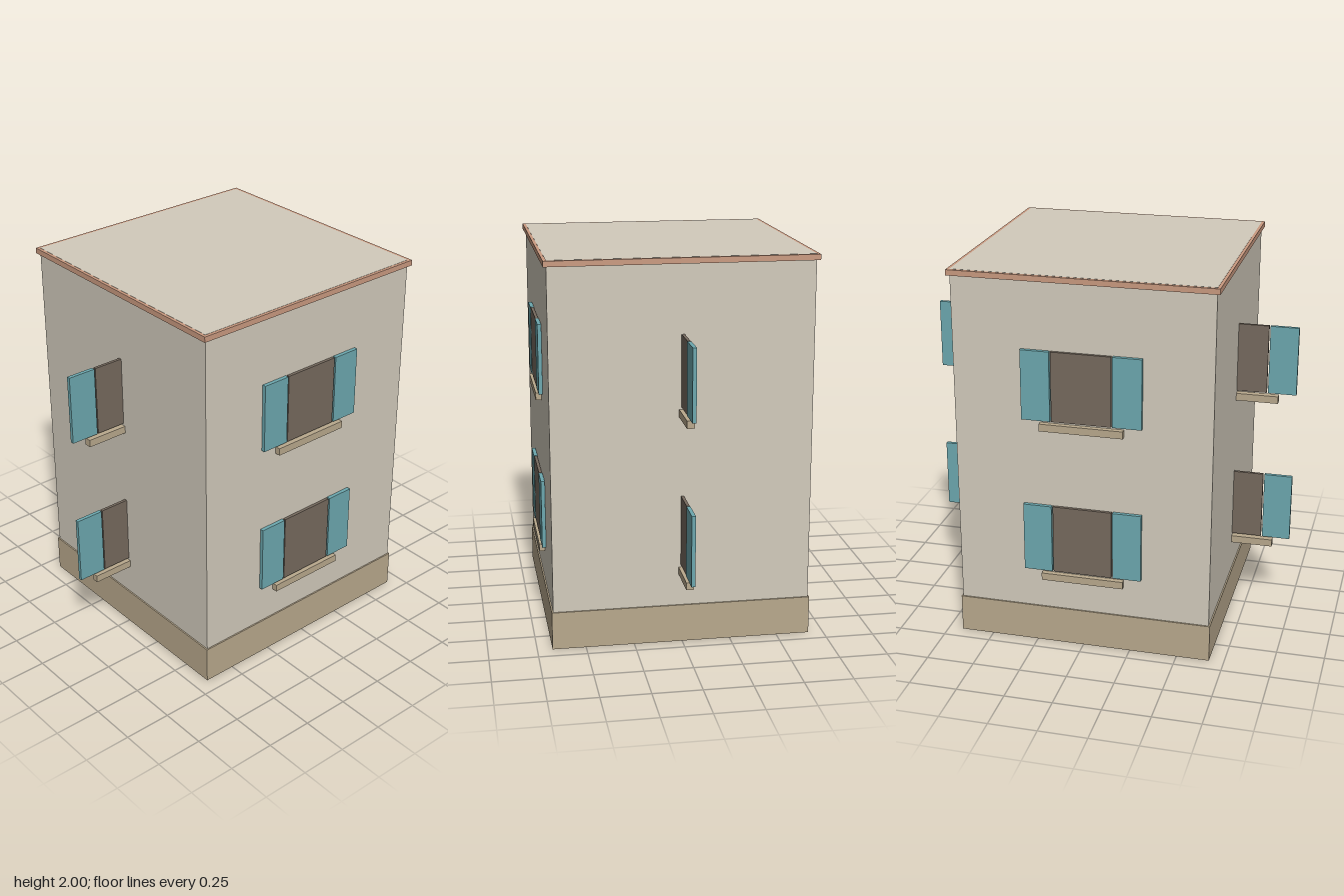
import * as THREE from 'three';

const material = (name, color) => {
  const m = new THREE.MeshStandardMaterial({ color });
  m.name = name;
  return m;
};

export function createModel() {
  const plaster = material('plaster', 0xd2cbbc);
  const stone = material('stone', 0xb9a98d);
  const terracotta = material('terracotta', 0xca9a80);
  const teal = material('shutter teal', 0x6ca8af);
  const glass = material('dark glass', 0x766a5e);

  // Box given by its bottom centre
  const box = (parent, name, mat, w, h, d, x = 0, y = 0, z = 0) => {
    const mesh = new THREE.Mesh(new THREE.BoxGeometry(w, h, d), mat);
    mesh.name = name;
    mesh.position.set(x, y + h / 2, z);
    parent.add(mesh);
  };

  const house = new THREE.Group();
  house.name = 'house';

  // Main block, base course and thin roof edge
  box(house, 'walls', plaster, 1.33, 2, 1.33);
  box(house, 'plinth', stone, 1.345, 0.199, 1.345, 0, 0.001);
  box(house, 'roofEdge', terracotta, 1.362, 0.029, 1.362, 0, 1.97);

  // Window with two open shutters and a sill, always parallel to the front
  const addWindow = (name, x, y, z) => {
    const unit = new THREE.Group();
    unit.name = name;
    unit.position.set(x, y, z);
    box(unit, 'pane', glass, 0.307, 0.367, 0.016);
    for (const s of [-1, 1]) box(unit, 'shutter', teal, 0.149, 0.367, 0.02, s * 0.235);
    box(unit, 'sill', stone, 0.432, 0.039, 0.038, 0, -0.052);
    house.add(unit);
  };

  // Two storeys; the side units pass edge-on through the walls
  for (const y of [0.42, 1.253]) {
    addWindow('frontWindow', 0, y, 0.676);
    addWindow('backWindow', 0, y, -0.675);
    addWindow('leftWindow', 0.67, y, 0);
    addWindow('rightWindow', -0.67, y, 0);
  }
  return house;
}
